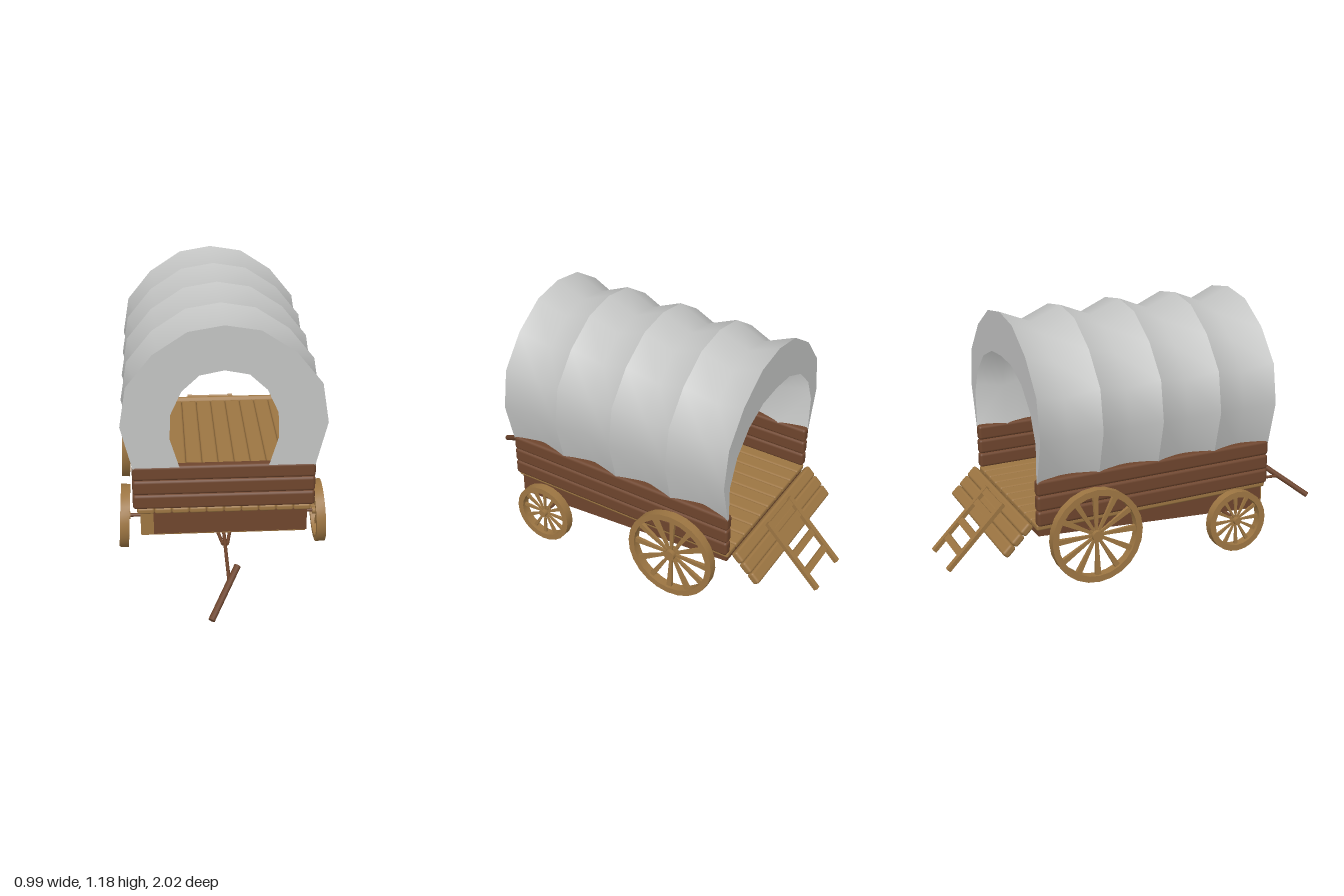
import * as THREE from 'three';
import { toCreasedNormals } from 'three/addons/utils/BufferGeometryUtils.js';
import { RoundedBoxGeometry } from 'three/addons/geometries/RoundedBoxGeometry.js';

export function createModel() {
  const root = new THREE.Group();
  root.name = 'coveredWagon';
  const mat = (name, color, side = THREE.FrontSide) => {
    const m = new THREE.MeshStandardMaterial({ color, side });
    m.name = name;
    return m;
  };
  const brown = mat('darkWood', 0x6e452d);
  const tan = mat('lightWood', 0x9c7542);
  const cloth = mat('canvas', 0xc2c3c2, THREE.DoubleSide);
  const V = (x, y, z) => new THREE.Vector3(x, y, z);

  const add = (parent, name, geo, material, x = 0, y = 0, z = 0) => {
    const m = new THREE.Mesh(geo, material);
    m.name = name;
    m.position.set(x, y, z);
    parent.add(m);
    return m;
  };
  const group = (name, parent = root) => {
    const g = new THREE.Group();
    g.name = name;
    parent.add(g);
    return g;
  };
  const plank = (w, h, d, r = 0.014) => new RoundedBoxGeometry(w, h, d, 2, r);
  // Round bar between two points
  const bar = (parent, name, a, b, r, material) => {
    const d = b.clone().sub(a);
    const m = add(parent, name, new THREE.CylinderGeometry(r, r, d.length(), 8), material);
    m.position.copy(a).add(b).multiplyScalar(0.5);
    m.quaternion.setFromUnitVectors(V(0, 1, 0), d.normalize());
    return m;
  };

  // Plank walls on the sides and front
  const body = group('body');
  for (let i = 0; i < 3; i++) {
    const y = 0.337 + i * 0.073;
    for (const s of [-1, 1]) add(body, 'sidePlank', plank(0.045, 0.073, 1.19), brown, s * 0.396, y, -0.087);
    add(body, 'frontPlank', plank(0.835, 0.073, 0.045), brown, 0, y, 0.488);
  }

  // Floor boards
  for (let i = 0; i < 10; i++)
    add(body, 'floorBoard', plank(0.079, 0.03, 1.19, 0.01), tan, (i - 4.5) * 0.08, 0.289, -0.087);

  // Wedge shaped underbody, deepest at the front
  const wedge = new THREE.Shape([[0.495, 0.163], [0.495, 0.278], [-0.67, 0.278], [-0.67, 0.243]]
    .map(([z, y]) => new THREE.Vector2(z, y)));
  const wedgeGeo = new THREE.ExtrudeGeometry(wedge, { depth: 0.77, bevelEnabled: false });
  wedgeGeo.rotateY(-Math.PI / 2).translate(0.385, 0, 0);
  add(body, 'underbody', wedgeGeo, brown);
  add(body, 'frontTrim', new THREE.BoxGeometry(0.06, 0.112, 0.006), tan, -0.355, 0.22, 0.496);
  add(body, 'bottomTrim', new THREE.BoxGeometry(0.76, 0.006, 0.15), tan, 0, 0.167, 0.42).rotation.x = 0.069;

  // Canvas cover: pleated bays between hoops
  const half = [[0.413, 0.505], [0.466, 0.72], [0.435, 0.91], [0.315, 1.06], [0.16, 1.163]];
  const mirrored = (pts, top) => [...pts, [0, top], ...pts.map(([x, y]) => [-x, y]).reverse()];
  const arch = mirrored(half, 1.19);
  const valley = arch.map(([x, y]) => [x * 0.905, 0.505 + (y - 0.505) * 0.912]);
  const hoops = [0.508, 0.212, -0.085, -0.382, -0.68];
  const cover = group('canvasCover');
  for (let b = 0; b < 4; b++) {
    const z0 = hoops[b], z1 = hoops[b + 1];
    const sections = [[arch, z0], [valley, (z0 + z1) / 2], [arch, z1]];
    const pos = [], idx = [], n = arch.length;
    sections.forEach(([pts, z]) => pts.forEach(([x, y]) => pos.push(x, y, z)));
    for (let k = 0; k < 2; k++)
      for (let i = 0; i < n - 1; i++) {
        const a = k * n + i, c = a + n;
        idx.push(a, c, a + 1, a + 1, c, c + 1);
      }
    const geo = new THREE.BufferGeometry();
    geo.setAttribute('position', new THREE.Float32BufferAttribute(pos, 3));
    geo.setIndex(idx);
    geo.computeVertexNormals();
    add(cover, 'canvasBay', geo, cloth);
  }

  // Canvas end panels with arched openings
  const endPanel = (name, inner, top, z) => {
    const outline = [...arch, ...mirrored(inner, top).reverse()];
    const shape = new THREE.Shape(outline.map(([x, y]) => new THREE.Vector2(x, y)));
    add(cover, name, new THREE.ShapeGeometry(shape), cloth, 0, 0, z);
  };
  endPanel('frontPanel', [[0.2, 0.505], [0.245, 0.655], [0.24, 0.775], [0.19, 0.885], [0.11, 0.96]], 0.982, 0.508);
  endPanel('backPanel', [[0.405, 0.505], [0.41, 0.69], [0.355, 0.82], [0.255, 0.92], [0.13, 0.975]], 0.985, -0.68);

  // Wheels: rim, hub and tapered spokes, leaning slightly outward at the bottom
  const wheel = (name, side, y, z, R) => {
    const g = group(name);
    g.position.set(side * 0.462, y, z);
    g.rotation.z = side * 0.05;
    const ri = R - 0.029, t = 0.022;
    const profile = [[R, -t], [R, t], [ri, t], [ri, -t], [R, -t]].map(([a, b]) => new THREE.Vector2(a, b));
    const rim = toCreasedNormals(new THREE.LatheGeometry(profile, 24).rotateZ(Math.PI / 2), 0.6);
    add(g, 'rim', rim, tan);
    const hub = new THREE.CylinderGeometry(R * 0.12, R * 0.12, 0.05, 12).rotateZ(Math.PI / 2);
    add(g, 'hub', hub, tan);
    for (let i = 0; i < 12; i++) {
      const spoke = new THREE.CylinderGeometry(R * 0.085, R * 0.035, ri, 4, 1).rotateY(Math.PI / 4);
      spoke.scale(0.7, 1, 1).translate(0, ri / 2 + 0.005, 0).rotateX((i * Math.PI) / 6);
      const m = add(g, 'spoke', toCreasedNormals(spoke, 0.3), tan);
      m.scale.setScalar(0.99);
    }
  };
  for (const s of [-1, 1]) {
    const label = s > 0 ? 'left' : 'right';
    wheel(label + 'FrontWheel', s, 0.16, 0.31, 0.15);
    wheel(label + 'RearWheel', s, 0.232, -0.42, 0.222);
  }

  // Axles, braces and draw pole
  const gear = group('runningGear');
  bar(gear, 'frontAxle', V(-0.47, 0.16, 0.31), V(0.47, 0.16, 0.31), 0.009, brown);
  bar(gear, 'rearAxle', V(-0.47, 0.228, -0.42), V(0.47, 0.228, -0.42), 0.009, brown);
  bar(gear, 'drawPole', V(0, 0.12, 0.86), V(0, 0.15, 0.45), 0.008, brown);
  bar(gear, 'centrePole', V(0, 0.15, 0.47), V(0, 0.232, -0.57), 0.008, brown);
  for (const s of [-1, 1])
    bar(gear, 'brace', V(s * 0.01, 0.142, 0.57), V(s * 0.22, 0.232, -0.57), 0.008, brown);
  bar(gear, 'handle', V(-0.085, 0.018, 0.985), V(0.04, 0.168, 0.795), 0.015, brown);

  // Sloping tailgate with a ladder resting on it
  const tail = group('tailgate');
  tail.position.set(0, 0.24, -0.765);
  tail.rotation.x = -Math.PI / 4;
  for (let i = 0; i < 3; i++)
    add(tail, 'tailPlank', plank(0.77, 0.038, 0.06, 0.012), tan, 0, 0, (i - 1) * 0.061);
  const ladder = group('ladder', tail);
  for (const s of [-1, 1])
    add(ladder, 'ladderRail', new THREE.BoxGeometry(0.025, 0.02, 0.395), tan, s * 0.113, 0.028, -0.131);
  for (const z of [-0.235, -0.135, -0.02, 0.045])
    add(ladder, 'ladderRung', new THREE.BoxGeometry(0.21, 0.014, 0.034), tan, 0, 0.028, z);

  return root;
}
